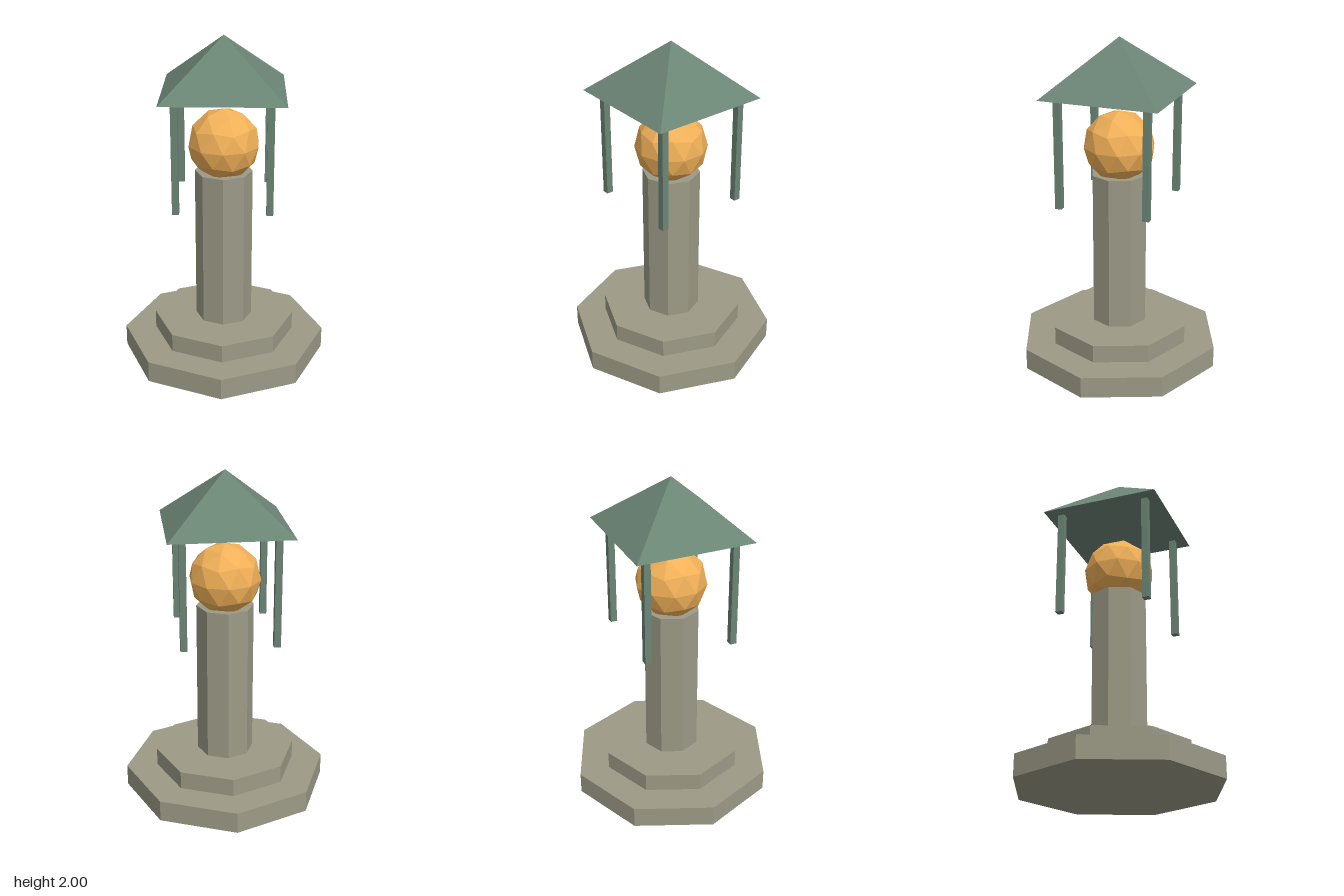
import * as THREE from 'three';

export function createModel() {
  const group = new THREE.Group();
  const mat = (color) => new THREE.MeshStandardMaterial({ color, flatShading: true });
  const stone = mat(0x9c9a86);
  const copper = mat(0x6b8575);
  const glow = mat(0xf0b058);

  const add = (name, geometry, material, x, y, z) => {
    const mesh = new THREE.Mesh(geometry, material);
    mesh.name = name;
    mesh.position.set(x, y, z);
    group.add(mesh);
    return mesh;
  };

  // Octagonal stone tiers, stacked from the ground: [name, radius, bottom, top]
  const tiers = [
    ['lowerStep', 0.62, 0, 0.13],
    ['upperStep', 0.43, 0.13, 0.24],
    ['column', 0.172, 0.24, 1.19],
  ];
  for (const [name, r, y0, y1] of tiers) {
    add(name, new THREE.CylinderGeometry(r, r, y1 - y0, 8), stone, 0, (y0 + y1) / 2, 0);
  }

  // Faceted globe, turned so one of its five-sided corners points up
  const globe = new THREE.IcosahedronGeometry(0.215, 1);
  globe.rotateZ(-Math.atan(2 / (1 + Math.sqrt(5))));
  add('globe', globe, glow, 0, 1.355, 0);

  // Four slim posts hanging from the roof
  for (const x of [-0.27, 0.27]) {
    for (const z of [-0.27, 0.27]) {
      add('post', new THREE.BoxGeometry(0.04, 0.66, 0.04), copper, x, 1.35, z);
    }
  }

  // Square pyramid roof
  const roof = new THREE.ConeGeometry(0.357 * Math.SQRT2, 0.32, 4);
  roof.rotateY(Math.PI / 4);
  add('roof', roof, copper, 0, 1.84, 0);

  return group;
}
